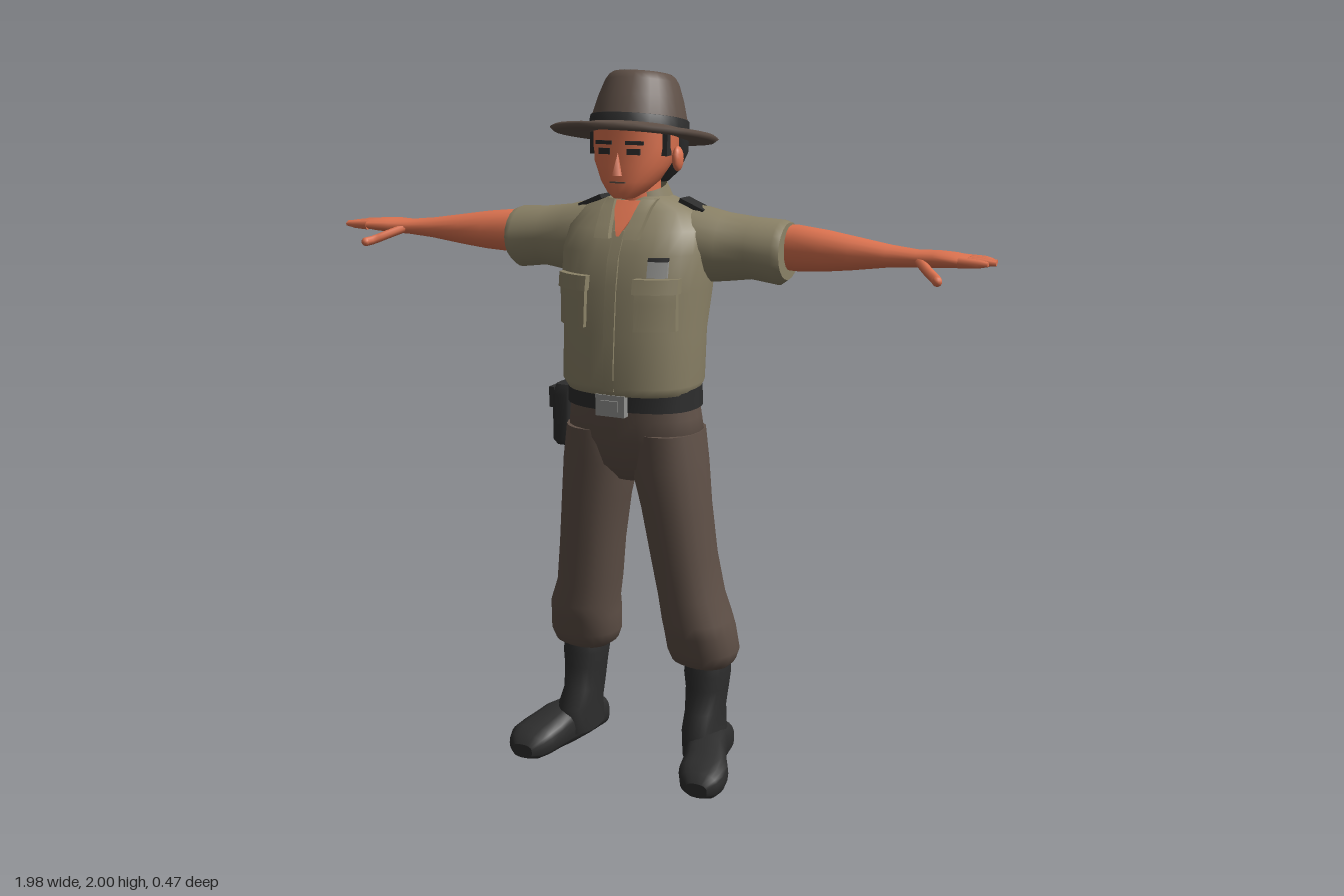
import * as THREE from 'three';

const mat = (name, color) => {
  const m = new THREE.MeshStandardMaterial({ color, side: THREE.DoubleSide });
  m.name = name;
  return m;
};

// Loft of superellipse rings along an axis. Ring: [t, uMin, uMax, vMin, vMax].
// Axis y: u = z, v = x.  Axis x: u = y, v = z.  Axis z: u = x, v = y.
function loft(axis, rings, power = 2, sides = 20) {
  const pos = [], idx = [];
  const put = (t, u, v) => pos.push(...(axis === 'y' ? [v, t, u] : axis === 'x' ? [t, u, v] : [u, v, t]));
  const curve = (c) => Math.sign(c) * Math.abs(c) ** (2 / power);
  const ring = ([t, u0, u1, v0, v1]) => {
    for (let j = 0; j < sides; j++) {
      const a = (j / sides) * Math.PI * 2;
      put(t, (u0 + u1) / 2 + curve(Math.cos(a)) * (u1 - u0) / 2, (v0 + v1) / 2 + curve(Math.sin(a)) * (v1 - v0) / 2);
    }
  };
  rings.forEach(ring);
  for (let i = 0; i < rings.length - 1; i++) for (let j = 0; j < sides; j++) {
    const a = i * sides + j, b = i * sides + (j + 1) % sides;
    idx.push(a, b, b + sides, a, b + sides, a + sides);
  }
  // separate end caps keep their edges sharp
  [rings[0], rings[rings.length - 1]].forEach((r, end) => {
    const s = pos.length / 3;
    ring(r);
    put(r[0], (r[1] + r[2]) / 2, (r[3] + r[4]) / 2);
    for (let j = 0; j < sides; j++) {
      const a = s + j, b = s + (j + 1) % sides;
      idx.push(...(end ? [a, b, s + sides] : [b, a, s + sides]));
    }
  });
  const g = new THREE.BufferGeometry();
  g.setAttribute('position', new THREE.Float32BufferAttribute(pos, 3));
  g.setIndex(idx);
  g.computeVertexNormals();
  return g;
}

function mirrored(geo) {
  const g = geo.clone().scale(-1, 1, 1), ix = g.index.array;
  for (let i = 0; i < ix.length; i += 3) [ix[i], ix[i + 1]] = [ix[i + 1], ix[i]];
  return g;
}

const TORSO = [
  [1.135, -0.15, 0.15, -0.185, 0.185], [1.16, -0.16, 0.165, -0.198, 0.198],
  [1.3, -0.165, 0.155, -0.2, 0.2], [1.42, -0.18, 0.145, -0.212, 0.212],
  [1.52, -0.185, 0.125, -0.215, 0.215], [1.58, -0.18, 0.09, -0.205, 0.205],
  [1.63, -0.16, 0.05, -0.165, 0.165], [1.665, -0.125, 0.02, -0.075, 0.075],
];
const POWER = 2.4;

// Depth of the shirt front at x, y
function torsoZ(x, y) {
  let i = 0;
  while (i < TORSO.length - 2 && y > TORSO[i + 1][0]) i++;
  const a = TORSO[i], b = TORSO[i + 1], k = THREE.MathUtils.clamp((y - a[0]) / (b[0] - a[0]), 0, 1);
  const r = a.map((v, n) => v + (b[n] - v) * k);
  const q = Math.min(Math.abs(x) / r[4], 0.97);
  return (r[1] + r[2]) / 2 + (r[2] - r[1]) / 2 * (1 - q ** POWER) ** (1 / POWER);
}

// Plate that follows the shirt front; low and high are [xMin, xMax] at its ends
function patch(y0, y1, low, high, thick = 0.012) {
  const g = new THREE.BoxGeometry(1, 1, thick, 6, 6, 1), p = g.attributes.position;
  for (let i = 0; i < p.count; i++) {
    const s = p.getX(i) + 0.5, t = p.getY(i) + 0.5;
    const x0 = low[0] + (high[0] - low[0]) * t, x1 = low[1] + (high[1] - low[1]) * t;
    const x = x0 + (x1 - x0) * s, y = y0 + (y1 - y0) * t;
    p.setXYZ(i, x, y, torsoZ(x, y) + p.getZ(i) + thick / 2 - 0.002);
  }
  g.computeVertexNormals();
  return g;
}

export function createModel() {
  const root = new THREE.Group();
  root.name = 'ranger';
  const shirt = mat('olive cloth', 0x8b8267), brown = mat('brown cloth', 0x5f5047), skin = mat('skin', 0xdd7350);
  const black = mat('black leather', 0x2d2d2d), metal = mat('grey metal', 0x92928f);
  const add = (name, geo, m, parent = root) => {
    const mesh = new THREE.Mesh(geo, m);
    mesh.name = name;
    parent.add(mesh);
    return mesh;
  };
  const pair = (name, geo, m) => {
    add('left' + name, geo, m);
    add('right' + name, mirrored(geo), m);
  };
  const box = (w, h, d, x, y, z, ry = 0) => new THREE.BoxGeometry(w, h, d).rotateY(ry).translate(x, y, z);
  const ball = (rx, ry, rz, x, y, z) => new THREE.SphereGeometry(1, 12, 8).scale(rx, ry, rz).translate(x, y, z);

  // Shirt
  add('shirt', loft('y', TORSO, POWER, 28), shirt);
  pair('Sleeve', loft('x', [
    [0.1, 1.46, 1.645, -0.165, 0.03], [0.18, 1.43, 1.64, -0.175, 0.03], [0.24, 1.435, 1.625, -0.18, 0.015],
    [0.32, 1.445, 1.615, -0.18, 0.0], [0.4, 1.435, 1.612, -0.178, 0.005], [0.42, 1.45, 1.605, -0.172, -0.005],
  ]), shirt);
  add('placket', patch(1.15, 1.58, [-0.016, 0.016], [-0.016, 0.016], 0.008), shirt);
  pair('Pocket', patch(1.32, 1.43, [0.075, 0.175], [0.075, 0.175], 0.018), shirt);
  pair('PocketFlap', patch(1.42, 1.46, [0.07, 0.18], [0.07, 0.18], 0.026), shirt);
  add('openNeck', patch(1.565, 1.655, [-0.004, 0.004], [-0.045, 0.045], 0.008), skin);
  pair('CollarWing', patch(1.56, 1.66, [0.02, 0.065], [0.04, 0.075], 0.022), shirt);
  add('collar', new THREE.CylinderGeometry(0.07, 0.088, 0.055, 20, 1, true, Math.PI * 0.2, Math.PI * 1.6)
    .rotateX(0.25).translate(0, 1.665, -0.052), shirt);
  add('badge', patch(1.462, 1.505, [0.1, 0.15], [0.1, 0.15], 0.009), metal);
  add('badgeTop', patch(1.505, 1.515, [0.1, 0.15], [0.1, 0.15], 0.009), black);
  pair('Epaulette', new THREE.BoxGeometry(0.075, 0.012, 0.06).rotateZ(-0.4).translate(0.155, 1.641, -0.06), black);

  // Arms and hands
  pair('Arm', loft('x', [
    [0.38, 1.475, 1.595, -0.165, -0.05], [0.44, 1.472, 1.598, -0.165, -0.045], [0.52, 1.478, 1.59, -0.155, -0.035],
    [0.6, 1.488, 1.578, -0.14, -0.035], [0.7, 1.503, 1.563, -0.12, -0.035], [0.78, 1.51, 1.555, -0.108, -0.035],
    [0.83, 1.513, 1.558, -0.11, -0.015], [0.88, 1.518, 1.556, -0.108, 0.0], [0.92, 1.522, 1.55, -0.105, 0.0],
  ], 2.2, 16), skin);
  [0.97, 0.985, 0.99, 0.975].forEach((tip, i) => {
    const z = -0.102 + i * 0.0255;
    pair('Finger' + (i + 1), loft('x', [
      [0.9, 1.522, 1.55, z, z + 0.026], [0.95, 1.525, 1.548, z + 0.001, z + 0.025], [tip, 1.53, 1.543, z + 0.004, z + 0.021],
    ], 2.5, 8), skin);
  });
  const thumb = new THREE.CatmullRomCurve3([[0.79, 1.53, -0.045], [0.83, 1.51, 0.005], [0.855, 1.498, 0.03], [0.865, 1.495, 0.05]]
    .map((p) => new THREE.Vector3(...p)));
  pair('Thumb', new THREE.TubeGeometry(thumb, 6, 0.013, 8), skin);
  pair('ThumbTip', ball(0.013, 0.013, 0.013, 0.865, 1.495, 0.05), skin);

  // Head
  add('neck', loft('y', [[1.58, -0.12, 0.035, -0.065, 0.065], [1.64, -0.105, 0.03, -0.055, 0.055], [1.74, -0.1, 0.03, -0.055, 0.055]]), skin);
  add('head', loft('y', [
    [1.665, 0.03, 0.09, -0.028, 0.028], [1.68, -0.01, 0.1, -0.05, 0.05], [1.71, -0.06, 0.103, -0.078, 0.078],
    [1.75, -0.09, 0.1, -0.1, 0.1], [1.8, -0.12, 0.098, -0.114, 0.114], [1.87, -0.12, 0.095, -0.114, 0.114],
  ], 2.3), skin);
  const nose = new THREE.ConeGeometry(0.017, 0.06, 4).rotateY(Math.PI / 4).translate(0, 1.757, 0.1);
  add('nose', nose, skin);
  add('mouth', box(0.045, 0.004, 0.006, 0, 1.709, 0.102), brown);
  pair('Ear', ball(0.014, 0.034, 0.024, 0.118, 1.767, -0.025), skin);
  pair('Eye', box(0.036, 0.016, 0.008, 0.043, 1.79, 0.092, 0.15), black);
  pair('Eyebrow', box(0.05, 0.01, 0.009, 0.045, 1.813, 0.091, 0.15), black);
  add('hair', loft('y', [
    [1.7, -0.11, -0.06, -0.06, 0.06], [1.73, -0.132, -0.045, -0.092, 0.092],
    [1.78, -0.143, -0.035, -0.116, 0.116], [1.86, -0.145, -0.02, -0.12, 0.12],
  ], 2.4), black);
  pair('Sideburn', box(0.018, 0.065, 0.04, 0.104, 1.81, 0.02, 0.15), black);

  // Hat, tipped up at the front
  const hat = new THREE.Group();
  hat.name = 'hat';
  hat.position.set(0, 1.832, 0);
  hat.rotation.x = -0.16;
  root.add(hat);
  const lathe = (pts, z = 0) => new THREE.LatheGeometry(pts.map((p) => new THREE.Vector2(...p)), 28).scale(1, 1, 1.05).translate(0, 0, z);
  add('brim', lathe([[0.1, 0.0], [0.16, -0.008], [0.215, -0.01], [0.227, 0.0], [0.215, 0.008], [0.16, 0.012], [0.12, 0.022]]), brown, hat);
  add('crown', lathe([[0.134, 0.008], [0.129, 0.045], [0.116, 0.095], [0.1, 0.14], [0.09, 0.155], [0.08, 0.162]], -0.026), brown, hat);
  add('crownTop', lathe([[0.082, 0.161], [0.05, 0.165], [0, 0.162]], -0.026), shirt, hat);
  add('hatBand', lathe([[0.137, 0.012], [0.133, 0.044], [0.127, 0.046]], -0.026), black, hat);

  // Trousers
  add('trouserSeat', loft('y', [
    [0.87, -0.07, 0.05, -0.06, 0.06], [0.92, -0.125, 0.095, -0.15, 0.15], [1.0, -0.14, 0.115, -0.2, 0.2],
    [1.06, -0.138, 0.122, -0.192, 0.192], [1.12, -0.135, 0.125, -0.182, 0.182],
  ], 2.4, 24), brown);
  pair('TrouserLeg', loft('y', [
    [0.305, -0.15, -0.015, 0.125, 0.265], [0.325, -0.16, 0.02, 0.1, 0.285], [0.36, -0.168, 0.035, 0.087, 0.297],
    [0.42, -0.165, 0.055, 0.085, 0.288], [0.46, -0.152, 0.065, 0.082, 0.282], [0.53, -0.145, 0.065, 0.072, 0.258],
    [0.65, -0.128, 0.08, 0.055, 0.24], [0.8, -0.122, 0.095, 0.03, 0.225], [0.92, -0.13, 0.107, 0.0, 0.215], [1.02, -0.135, 0.112, 0.0, 0.2],
  ], 2.2), brown);

  // Belt, buckle and pouch
  add('belt', loft('y', [[1.088, -0.146, 0.134, -0.194, 0.194], [1.145, -0.146, 0.136, -0.192, 0.192]], 2.4, 28), black);
  add('buckle', box(0.088, 0.06, 0.024, 0, 1.107, 0.142), metal);
  add('buckleBar', box(0.05, 0.03, 0.006, 0, 1.107, 0.156), metal);
  add('pouch', loft('y', [
    [0.94, -0.05, 0.02, -0.245, -0.2], [0.955, -0.06, 0.03, -0.255, -0.195],
    [1.09, -0.07, 0.035, -0.255, -0.188], [1.12, -0.06, 0.025, -0.245, -0.185],
  ], 4), black);
  add('pouchFlap', box(0.016, 0.06, 0.085, -0.254, 1.08, -0.018), black);
  add('pouchStud', box(0.006, 0.02, 0.02, -0.263, 1.06, -0.02), metal);

  // Boots
  pair('BootShaft', loft('y', [
    [0.04, -0.15, 0.04, 0.15, 0.27], [0.12, -0.14, 0.045, 0.15, 0.262], [0.17, -0.143, 0.01, 0.147, 0.256],
    [0.24, -0.152, -0.005, 0.142, 0.262], [0.285, -0.155, -0.005, 0.135, 0.267], [0.325, -0.145, -0.015, 0.14, 0.262],
  ], 2.3), black);
  pair('BootFoot', loft('z', [
    [-0.162, 0.175, 0.245, 0.004, 0.075], [-0.145, 0.158, 0.262, 0, 0.1], [-0.06, 0.165, 0.275, 0, 0.125],
    [0.02, 0.178, 0.305, 0, 0.125], [0.08, 0.195, 0.338, 0, 0.1], [0.13, 0.205, 0.347, 0, 0.09],
    [0.16, 0.222, 0.338, 0, 0.075], [0.18, 0.25, 0.315, 0.008, 0.05],
  ], 2.8), black);
  return root;
}
